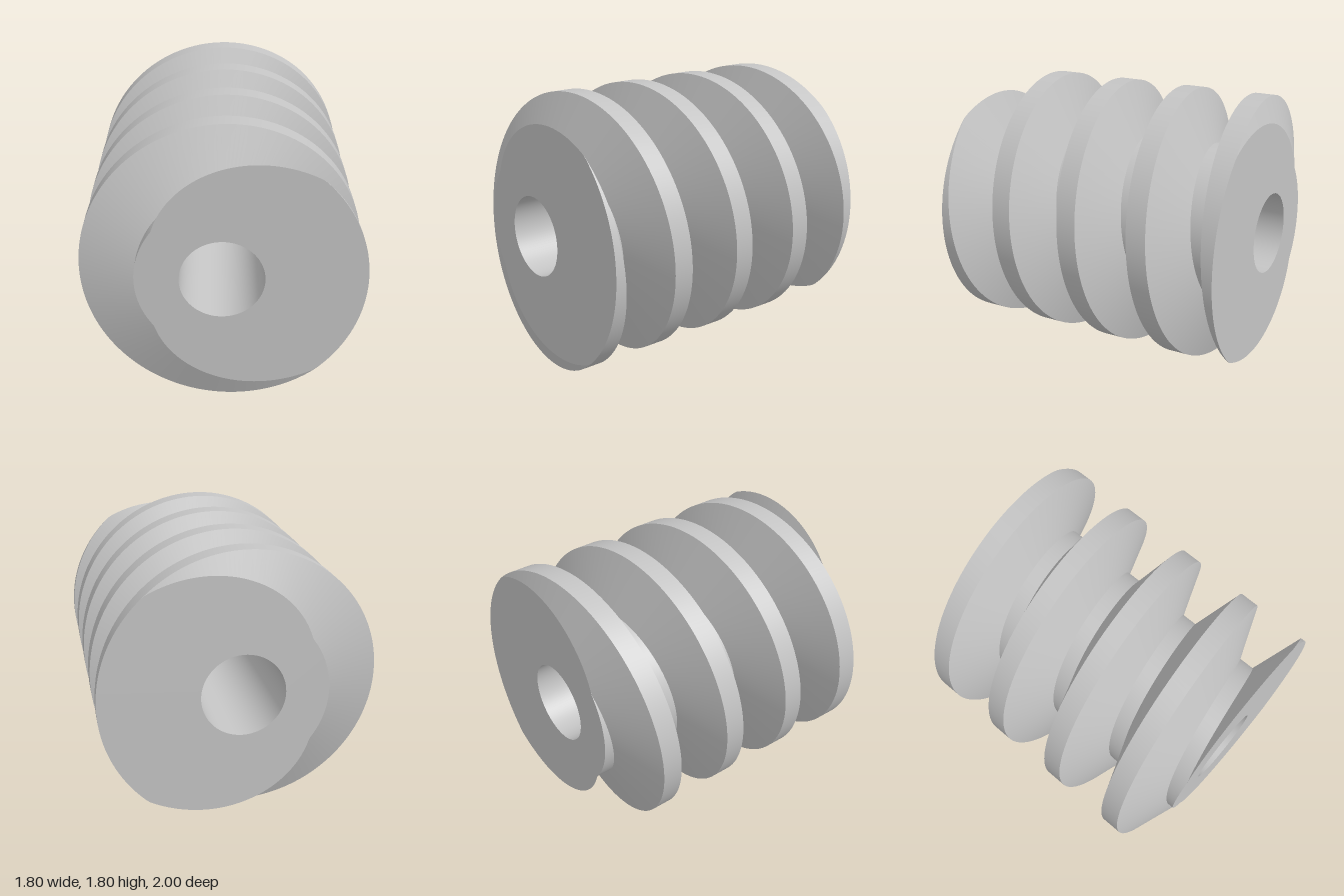
import * as THREE from 'three';

const LENGTH = 2, OUTER = 0.9, ROOT = 0.542, BORE = 0.266, CENTRE_Y = 0.903;
const PITCH = 0.5, STEPS = 192, TURNS = 6;

// One pitch of the thread section: [axial offset from the crest centre, radius]
const PROFILE = [[-0.197, ROOT], [-0.067, OUTER], [0.067, OUTER], [0.197, ROOT], [PITCH - 0.197, ROOT]];

// Radius of the worm's outside at a given angle and axial position
function radiusAt(angle, z) {
  const first = PROFILE[0][0];
  let s = z - (angle / (2 * Math.PI)) * PITCH - first;
  s = s - Math.floor(s / PITCH) * PITCH + first;
  for (let i = 0; i < PROFILE.length - 1; i++) {
    const [z0, r0] = PROFILE[i], [z1, r1] = PROFILE[i + 1];
    if (s <= z1) return r0 + (r1 - r0) * (s - z0) / (z1 - z0);
  }
  return ROOT;
}

// Helical ribbon between two profile points, trimmed flat at both ends
function helicalStrip([z0, r0], [z1, r1]) {
  const half = LENGTH / 2, positions = [], index = [], empty = [];
  const count = STEPS * TURNS;
  for (let i = 0; i <= count; i++) {
    const turn = i / STEPS - TURNS / 2, angle = turn * 2 * Math.PI;
    const ends = [z0, z1].map((offset) => THREE.MathUtils.clamp(offset + turn * PITCH, -half, half));
    for (const z of ends) {
      const t = THREE.MathUtils.clamp((z - turn * PITCH - z0) / (z1 - z0), 0, 1);
      const r = r0 + (r1 - r0) * t;
      positions.push(r * Math.cos(angle), r * Math.sin(angle), z);
    }
    empty.push(ends[1] - ends[0] < 1e-6);
    if (i > 0 && !(empty[i] && empty[i - 1])) {
      const a = 2 * (i - 1), b = 2 * i;
      index.push(a, b, b + 1, a, b + 1, a + 1);
    }
  }
  const geometry = new THREE.BufferGeometry();
  geometry.setAttribute('position', new THREE.Float32BufferAttribute(positions, 3));
  geometry.setIndex(index);
  geometry.computeVertexNormals();
  return geometry;
}

// Flat end face following the cut thread, with the bore left open
function endFace(side) {
  const points = [];
  for (let i = 0; i < STEPS; i++) {
    const angle = (i / STEPS) * 2 * Math.PI;
    const r = radiusAt(angle, side * LENGTH / 2);
    points.push(new THREE.Vector2(side * r * Math.cos(angle), r * Math.sin(angle)));
  }
  const shape = new THREE.Shape(points);
  shape.holes.push(new THREE.Path().absarc(0, 0, BORE, 0, Math.PI * 2, true));
  const geometry = new THREE.ShapeGeometry(shape, 48);
  if (side < 0) geometry.rotateY(Math.PI);
  return geometry.translate(0, 0, side * LENGTH / 2);
}

export function createModel() {
  const model = new THREE.Group();
  model.name = 'wormGear';
  const steel = new THREE.MeshStandardMaterial({ color: 0xc4c4c4 });
  steel.name = 'light grey steel';

  const add = (name, geometry) => {
    const mesh = new THREE.Mesh(geometry, steel);
    mesh.name = name;
    mesh.position.y = CENTRE_Y;
    model.add(mesh);
  };

  // Thread surfaces
  ['rearFlank', 'threadCrest', 'frontFlank', 'threadRoot'].forEach((name, i) =>
    add(name, helicalStrip(PROFILE[i], PROFILE[i + 1])));

  // Shaft bore, facing inward
  const boreLine = [new THREE.Vector2(BORE, LENGTH / 2), new THREE.Vector2(BORE, -LENGTH / 2)];
  add('shaftBore', new THREE.LatheGeometry(boreLine, 96).rotateX(Math.PI / 2));

  // End faces
  add('frontFace', endFace(1));
  add('backFace', endFace(-1));
  return model;
}
